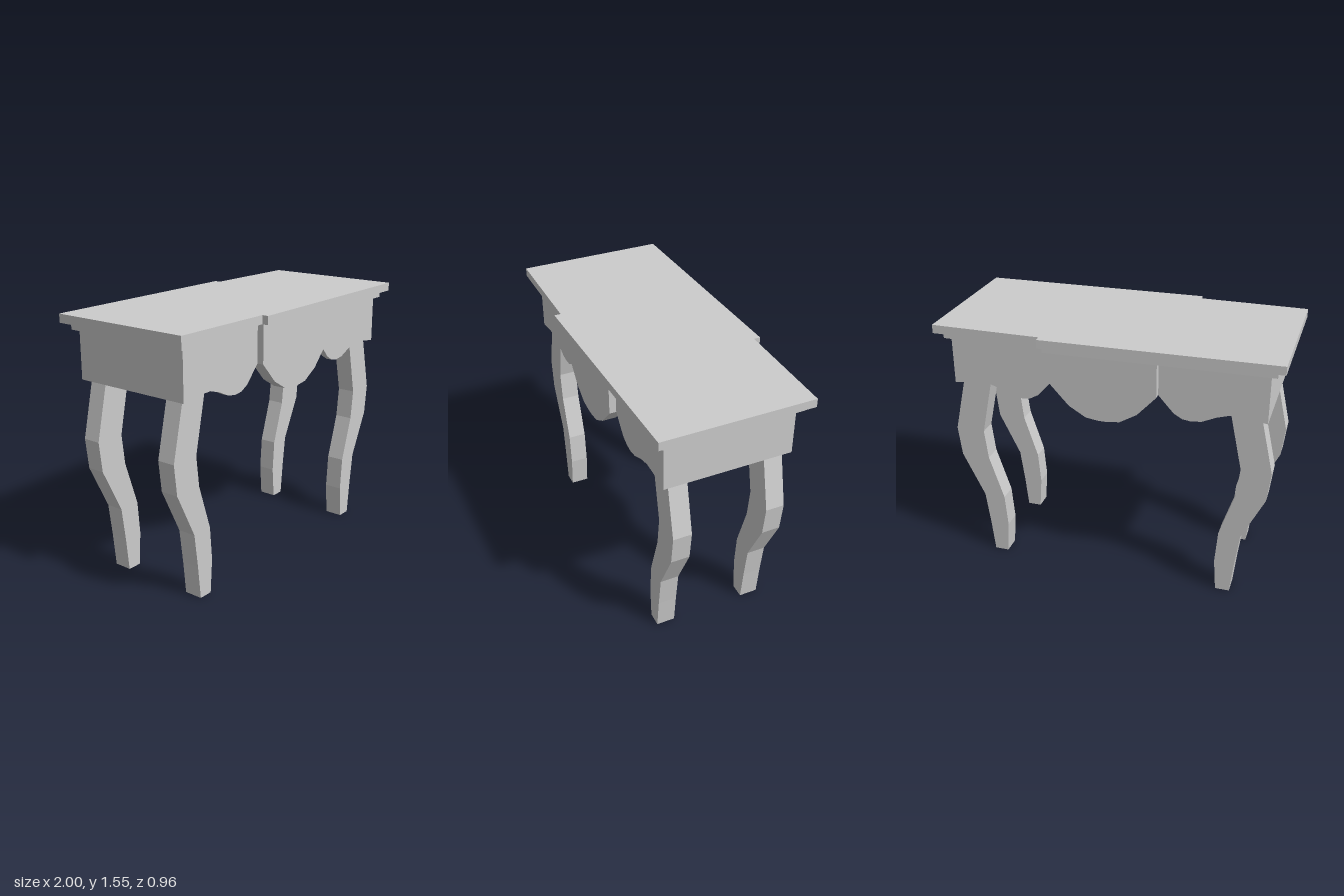
import * as THREE from 'three';

const material = new THREE.MeshStandardMaterial({ color: 0xcccccc, flatShading: true });

// Extrudes a front-facing outline from z0 to z1; sx = -1 mirrors it left/right.
function panel(name, points, z0, z1, sx = 1) {
  const shape = new THREE.Shape(points.map(([x, y]) => new THREE.Vector2(x * sx, y)));
  const geometry = new THREE.ExtrudeGeometry(shape, { depth: z1 - z0, bevelEnabled: false });
  geometry.translate(0, 0, z0);
  const mesh = new THREE.Mesh(geometry, material);
  mesh.name = name;
  return mesh;
}

// Horizontal slab whose middle steps out at the front and back.
function steppedSlab(name, y0, y1, x, z, midX, midZ) {
  const half = [[x, -z], [x, z], [midX, z], [midX, midZ]];
  const outline = [...half, ...half.map(([a, b]) => [-a, -b])];
  const shape = new THREE.Shape(outline.map(([a, b]) => new THREE.Vector2(a, b)));
  const geometry = new THREE.ExtrudeGeometry(shape, { depth: y1 - y0, bevelEnabled: false });
  geometry.rotateX(-Math.PI / 2).translate(0, y0, 0);
  const mesh = new THREE.Mesh(geometry, material);
  mesh.name = name;
  return mesh;
}

function box(name, w, h, d, x, y, z) {
  const mesh = new THREE.Mesh(new THREE.BoxGeometry(w, h, d), material);
  mesh.position.set(x, y, z);
  mesh.name = name;
  return mesh;
}

export function createModel() {
  const table = new THREE.Group();
  table.name = 'consoleTable';

  // Table top, moulding below it, and the recessed underside
  table.add(steppedSlab('tableTop', 1.5, 1.55, 1, 0.44, 0.355, 0.478));
  table.add(steppedSlab('topMoulding', 1.46, 1.5, 0.955, 0.4, 0.34, 0.437));
  table.add(box('underside', 1.77, 0.13, 0.67, 0, 1.395, 0));

  // Scalloped apron outlines
  const scallop = [[0.31, 1.265], [0.2, 1.145], [0.1, 1.085], [0.025, 1.075]];
  const centre = [[0.31, 1.46], ...scallop,
    ...scallop.map(([x, y]) => [-x, y]).reverse(), [-0.31, 1.46]];
  const side = [[0.31, 1.46], [0.31, 1.265], [0.4, 1.165], [0.45, 1.137], [0.5, 1.13],
    [0.56, 1.138], [0.64, 1.175], [0.71, 1.197], [0.8, 1.195], [0.92, 1.177], [0.92, 1.46]];

  // Curved leg outline
  const leg = [[0.68, 0], [0.765, 0], [0.785, 0.2], [0.81, 0.4], [0.94, 0.67], [0.96, 0.85],
    [0.885, 1.177], [0.85, 1.33], [0.68, 1.33], [0.71, 1.197], [0.785, 0.85],
    [0.765, 0.67], [0.68, 0.4], [0.665, 0.2]];

  for (const front of [true, false]) {
    const end = front ? 'front' : 'back';
    const span = (a, b) => (front ? [a, b] : [-b, -a]);
    table.add(panel(`${end}CentreApron`, centre, ...span(0.335, 0.415)));
    for (const sx of [1, -1]) {
      const hand = sx > 0 ? 'Left' : 'Right';
      table.add(panel(`${end}${hand}Apron`, side, ...span(0.335, 0.375), sx));
      table.add(panel(`${end}${hand}Leg`, leg, ...span(0.225, 0.335), sx));
    }
  }

  // Straight end aprons
  for (const sx of [1, -1]) {
    table.add(box(sx > 0 ? 'leftEndApron' : 'rightEndApron',
      0.035, 0.283, 0.67, sx * 0.9025, 1.3185, 0));
  }
  return table;
}
